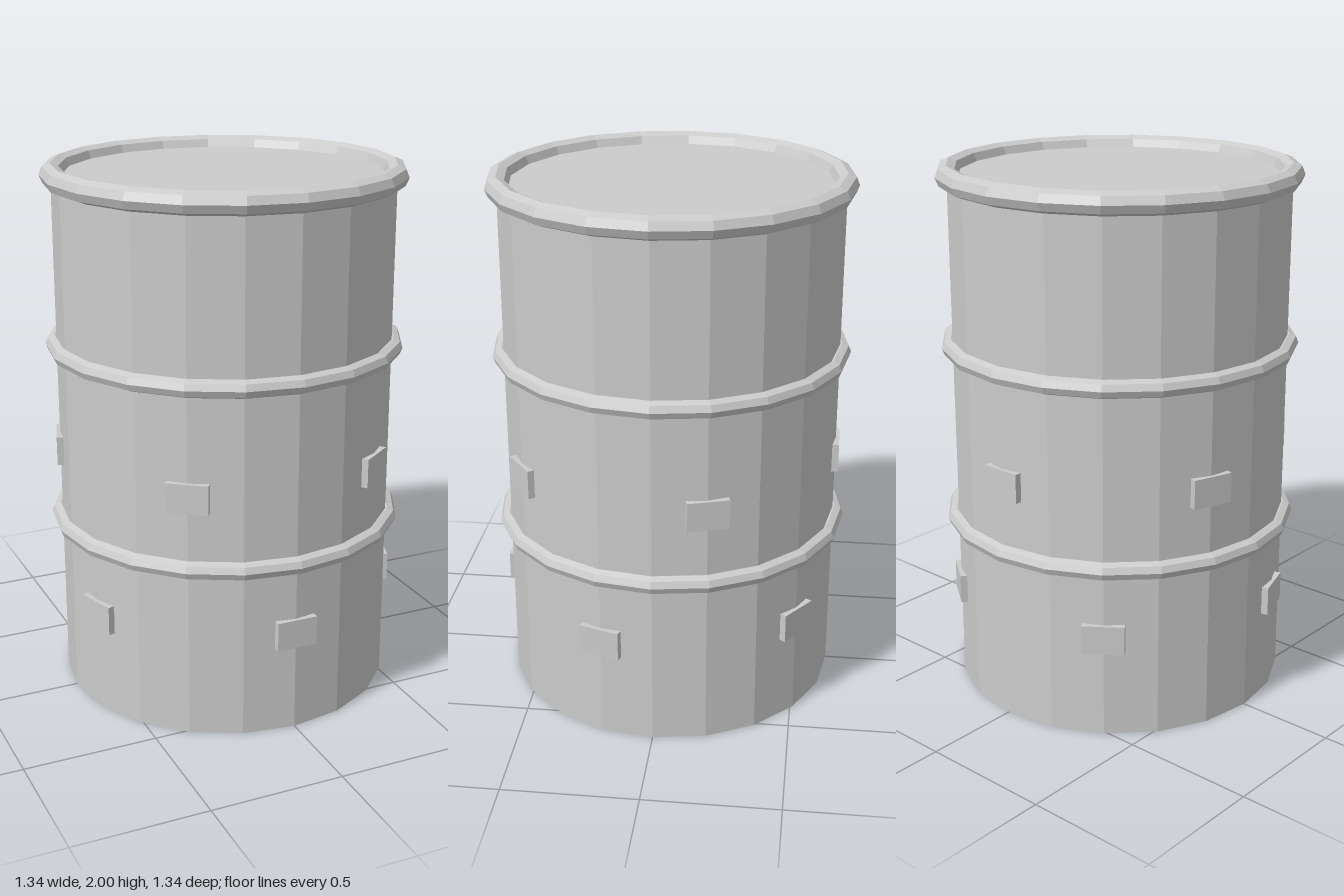
import * as THREE from 'three';

const SIDES = 20;
const RADIUS = 0.63;

export function createModel() {
  const group = new THREE.Group();
  group.name = 'barrel';
  const material = new THREE.MeshStandardMaterial({ color: 0xcccccc, flatShading: true });

  const add = (name, geometry) => {
    const mesh = new THREE.Mesh(geometry, material);
    mesh.name = name;
    group.add(mesh);
    return mesh;
  };

  // Closed drum; its top is the lid, recessed inside the rim
  add('drum', new THREE.CylinderGeometry(RADIUS, RADIUS, 1.957, SIDES)).position.y = 1.957 / 2;

  // Rolled rim and the two hoops
  const ring = (name, y, radius, tube) => {
    const geometry = new THREE.TorusGeometry(radius, tube, 8, SIDES).rotateX(Math.PI / 2);
    add(name, geometry).position.y = y;
  };
  ring('rim', 1.957, RADIUS, 0.042);
  ring('upperHoop', 1.328, 0.637, 0.034);
  ring('lowerHoop', 0.655, 0.637, 0.034);

  // Two staggered rows of five raised blocks
  const blockGeometry = new THREE.BoxGeometry(0.155, 0.11, 0.05).translate(0, 0, 0.643 - 0.025);
  const blockRow = (name, y, startAngle) => {
    for (let i = 0; i < 5; i++) {
      const block = add(name + (i + 1), blockGeometry);
      block.position.y = y;
      block.rotation.y = startAngle + (i * Math.PI * 2) / 5;
    }
  };
  blockRow('lowerBlock', 0.385, 0);
  blockRow('upperBlock', 0.925, Math.PI / 5);

  return group;
}
